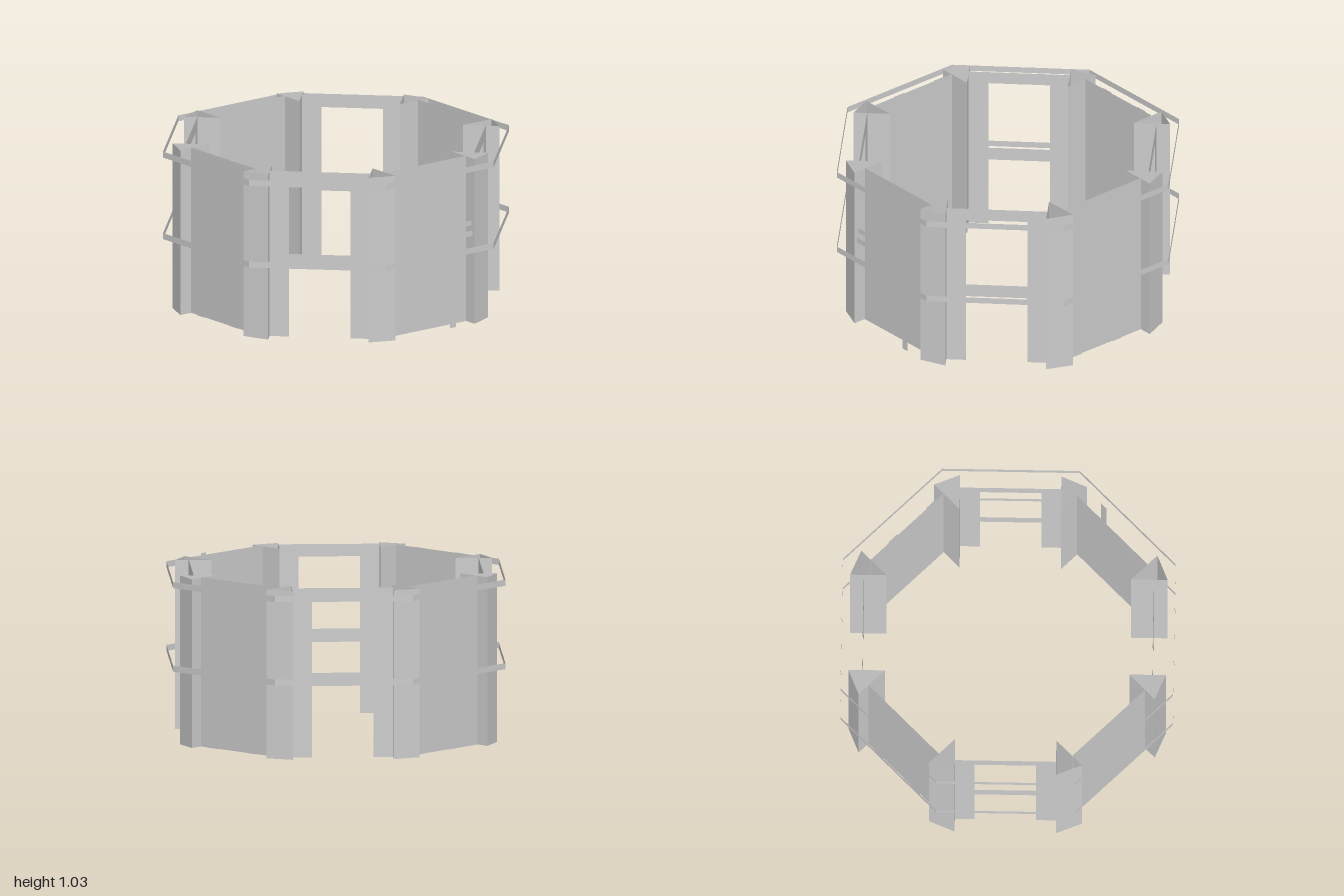
import * as THREE from 'three';

const HEIGHT = 1.03;
const WALL_R = 0.872;   // distance of the wall planes from the centre
const HALF = 0.305;     // half width of a wall between two pillars

const material = new THREE.MeshStandardMaterial({
  color: 0xcccccc, flatShading: true, side: THREE.DoubleSide,
});

function addMesh(parent, name, geometry) {
  const mesh = new THREE.Mesh(geometry, material);
  mesh.name = name;
  parent.add(mesh);
  return mesh;
}

// Thin upright sheet facing outward at radius r
function addSheet(parent, name, x0, x1, y0, y1, r) {
  const mesh = addMesh(parent, name, new THREE.PlaneGeometry(x1 - x0, y1 - y0));
  mesh.position.set((x0 + x1) / 2, (y0 + y1) / 2, r);
  return mesh;
}

// Closed loop of upright sheets through [x, z] corners, open at top and bottom
function prismShell(corners, y0, y1) {
  const positions = [];
  corners.forEach(([ax, az], i) => {
    const [bx, bz] = corners[(i + 1) % corners.length];
    positions.push(ax, y0, az, bx, y0, bz, bx, y1, bz, ax, y0, az, bx, y1, bz, ax, y1, az);
  });
  const geometry = new THREE.BufferGeometry();
  geometry.setAttribute('position', new THREE.Float32BufferAttribute(positions, 3));
  geometry.computeVertexNormals();
  return geometry;
}

function rect(target, x0, x1, y0, y1) {
  return target.moveTo(x0, y0).lineTo(x1, y0).lineTo(x1, y1).lineTo(x0, y1).closePath();
}

// Wall with a doorway below and a window above
function openWallGeometry() {
  const w = 0.185;
  const shape = new THREE.Shape();
  [[-HALF, 0], [-w, 0], [-w, 0.435], [w, 0.435], [w, 0], [HALF, 0], [HALF, HEIGHT], [-HALF, HEIGHT]]
    .forEach(([x, y], i) => (i ? shape.lineTo(x, y) : shape.moveTo(x, y)));
  shape.closePath();
  shape.holes.push(rect(new THREE.Path(), -w, w, 0.515, 0.955));
  return new THREE.ShapeGeometry(shape);
}

export function createModel() {
  const model = new THREE.Group();
  model.name = 'octagonalEnclosure';

  const openWall = openWallGeometry();
  // Wedge pillar: wide face outward, sides square to the neighbouring walls
  const pillar = prismShell([[-0.084, 0.998], [0.084, 0.998], [0, 0.795]], 0, HEIGHT - 0.004);

  for (let i = 0; i < 8; i++) {
    const side = new THREE.Group();
    side.name = 'side' + (i + 1);
    side.rotation.y = i * Math.PI / 4;
    model.add(side);

    if (i % 2 === 0) {
      addMesh(side, 'doorAndWindowWall', openWall).position.z = WALL_R;
    } else {
      addSheet(side, 'solidWall', -HALF, HALF, 0, HEIGHT, WALL_R);
      if (i === 1) {
        // Rails and a post stand clear of this wall
        addSheet(side, 'lowerRail', -HALF, HALF, 0.545, 0.577, 0.935);
        addSheet(side, 'upperRail', -HALF, HALF, 0.607, 0.637, 0.922);
        addSheet(side, 'railPost', 0.125, 0.172, 0, HEIGHT, 0.942);
      } else {
        addSheet(side, 'wallStrip', -0.24, -0.166, 0, HEIGHT, WALL_R + 0.006);
        addSheet(side, 'wallStrip', 0.072, 0.15, 0, HEIGHT, WALL_R + 0.006);
      }
    }

    const corner = addMesh(side, 'pillar', pillar);
    corner.rotation.y = Math.PI / 8;
  }

  // Two thin bands running round the outside
  const radius = 1 / Math.cos(Math.PI / 8);
  [['lowerBand', 0.458, 0.495], ['upperBand', 0.966, 1.003]].forEach(([name, y0, y1]) => {
    const band = new THREE.CylinderGeometry(radius, radius, y1 - y0, 8, 1, true, Math.PI / 8);
    addMesh(model, name, band).position.y = (y0 + y1) / 2;
  });

  return model;
}
